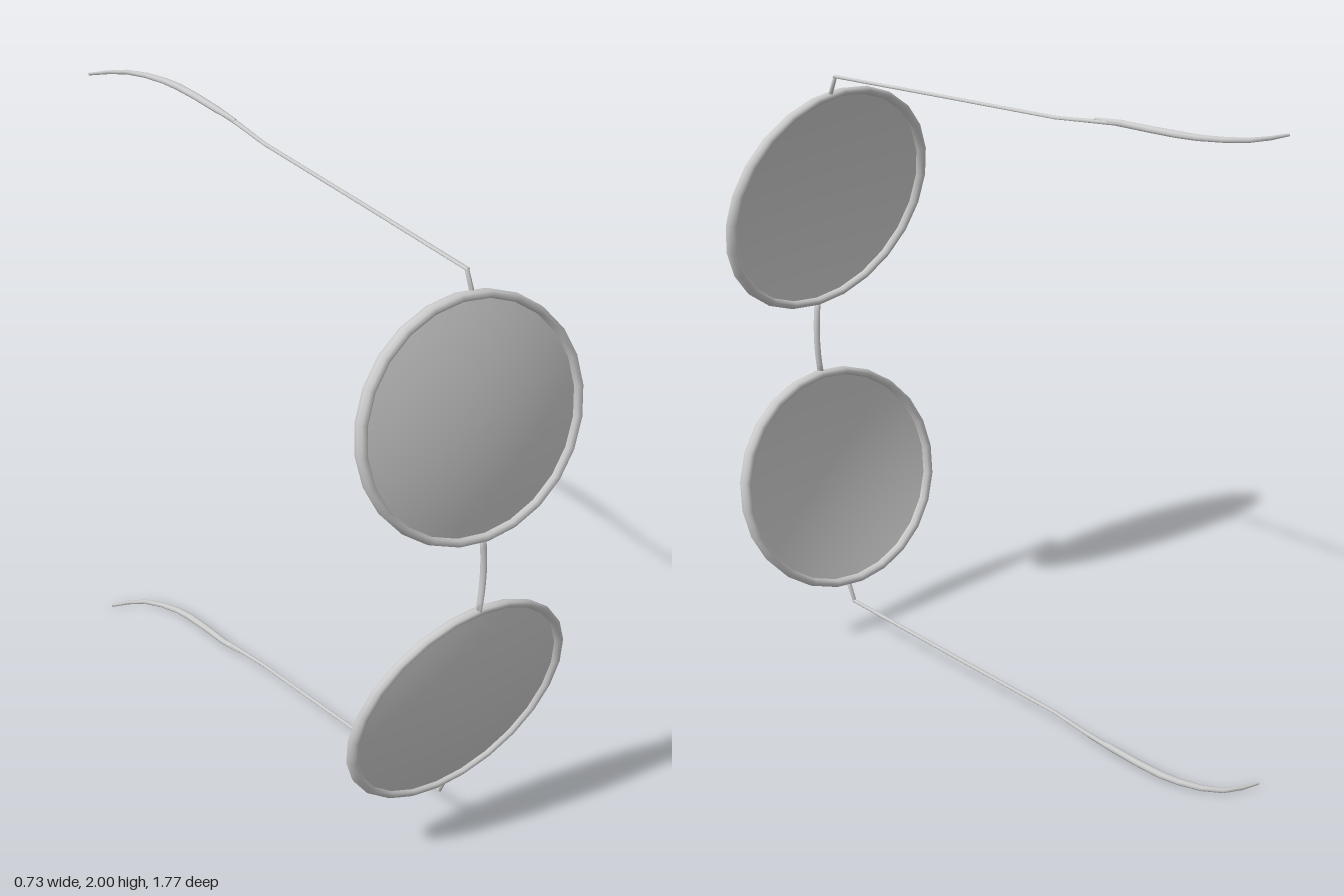
import * as THREE from 'three';

const material = new THREE.MeshStandardMaterial({ color: 0xcccccc, side: THREE.DoubleSide });

function part(name, geometry) {
  const mesh = new THREE.Mesh(geometry, material);
  mesh.name = name;
  return mesh;
}

// Sweeps an ellipse along rows of [x, y, z, half width, half height]; height follows 'up'.
function loft(rows, up, sides = 8) {
  const pts = rows.map(r => new THREE.Vector3(r[0], r[1], r[2]));
  const pos = [], idx = [], n = rows.length;
  for (let i = 0; i < n; i++) {
    const t = pts[Math.min(i + 1, n - 1)].clone().sub(pts[Math.max(i - 1, 0)]).normalize();
    const u = new THREE.Vector3().crossVectors(up, t).normalize();
    const v = new THREE.Vector3().crossVectors(t, u);
    for (let j = 0; j < sides; j++) {
      const a = j / sides * Math.PI * 2;
      const p = pts[i].clone().addScaledVector(u, Math.cos(a) * rows[i][3])
        .addScaledVector(v, Math.sin(a) * rows[i][4]);
      pos.push(p.x, p.y, p.z);
    }
  }
  for (let i = 0; i < n - 1; i++) for (let j = 0; j < sides; j++) {
    const k = (j + 1) % sides, a = i * sides + j, b = i * sides + k;
    idx.push(a, b, b + sides, a, b + sides, a + sides);
  }
  // end caps
  const last = (n - 1) * sides;
  for (let j = 1; j < sides - 1; j++) idx.push(0, j + 1, j, last, last + j, last + j + 1);
  const g = new THREE.BufferGeometry();
  g.setAttribute('position', new THREE.Float32BufferAttribute(pos, 3));
  g.setIndex(idx);
  g.computeVertexNormals();
  return g;
}

export function createModel() {
  const model = new THREE.Group();
  model.name = 'spectacles';
  const Y = new THREE.Vector3(0, 1, 0), Z = new THREE.Vector3(0, 0, 1);

  for (const s of [1, -1]) {
    const half = new THREE.Group();
    half.name = s > 0 ? 'upperHalf' : 'lowerHalf';
    const y = h => 1 + s * h;

    // slanted plane shared by the rim and the lens
    const slant = new THREE.Matrix4().set(
      1, 0, 0, 0,
      0, 1, 0, y(0.478),
      0.285, -0.18 * s, 1, 0.752,
      0, 0, 0, 1);

    // round wire rim
    const rim = new THREE.TorusGeometry(0.352, 0.013, 8, 24).scale(1, 1, 1.4);
    half.add(part('rim', rim.applyMatrix4(slant)));

    // shallow domed lens, bulging to the front
    const profile = [];
    for (let i = 0; i <= 8; i++) {
      const r = i / 8;
      profile.push(new THREE.Vector2(0.349 * r, 0.045 * (1 - r * r)));
    }
    const lens = new THREE.LatheGeometry(profile.reverse(), 24).rotateX(Math.PI / 2);
    half.add(part('lens', lens.applyMatrix4(slant)));

    // hinge post on the outer edge of the rim
    half.add(part('hinge', loft([
      [0.045, y(0.835), 0.695, 0.007, 0.007],
      [0.048, y(0.893), 0.673, 0.006, 0.006]], Z)));

    // thin temple arm, running into the curved ear tip
    half.add(part('temple', loft([
      [0.048, y(0.891), 0.677, 0.007, 0.005],
      [0.135, y(0.918), 0.24, 0.007, 0.005],
      [0.222, y(0.944), -0.2, 0.007, 0.005],
      [0.25, y(0.962), -0.33, 0.008, 0.006],
      [0.265, y(0.974), -0.42, 0.009, 0.008]], Y)));
    half.add(part('earTip', loft([
      [0.25, y(0.968), -0.34, 0.006, 0.006],
      [0.266, y(0.975), -0.43, 0.011, 0.01],
      [0.288, y(0.98), -0.53, 0.012, 0.01],
      [0.303, y(0.984), -0.62, 0.013, 0.01],
      [0.306, y(0.986), -0.68, 0.012, 0.009],
      [0.296, y(0.989), -0.75, 0.011, 0.008],
      [0.272, y(0.991), -0.81, 0.009, 0.007],
      [0.23, y(0.992), -0.85, 0.007, 0.006],
      [0.18, y(0.993), -0.88, 0.005, 0.004]], Y)));
    model.add(half);
  }

  // slightly bowed bridge between the rims
  const rows = [];
  for (let i = 0; i <= 8; i++) {
    const t = i / 4 - 1;
    rows.push([0.003 - 0.012 * t * t, 1 + 0.122 * t, 0.818, 0.008, 0.011]);
  }
  model.add(part('bridge', loft(rows, Z)));
  return model;
}
